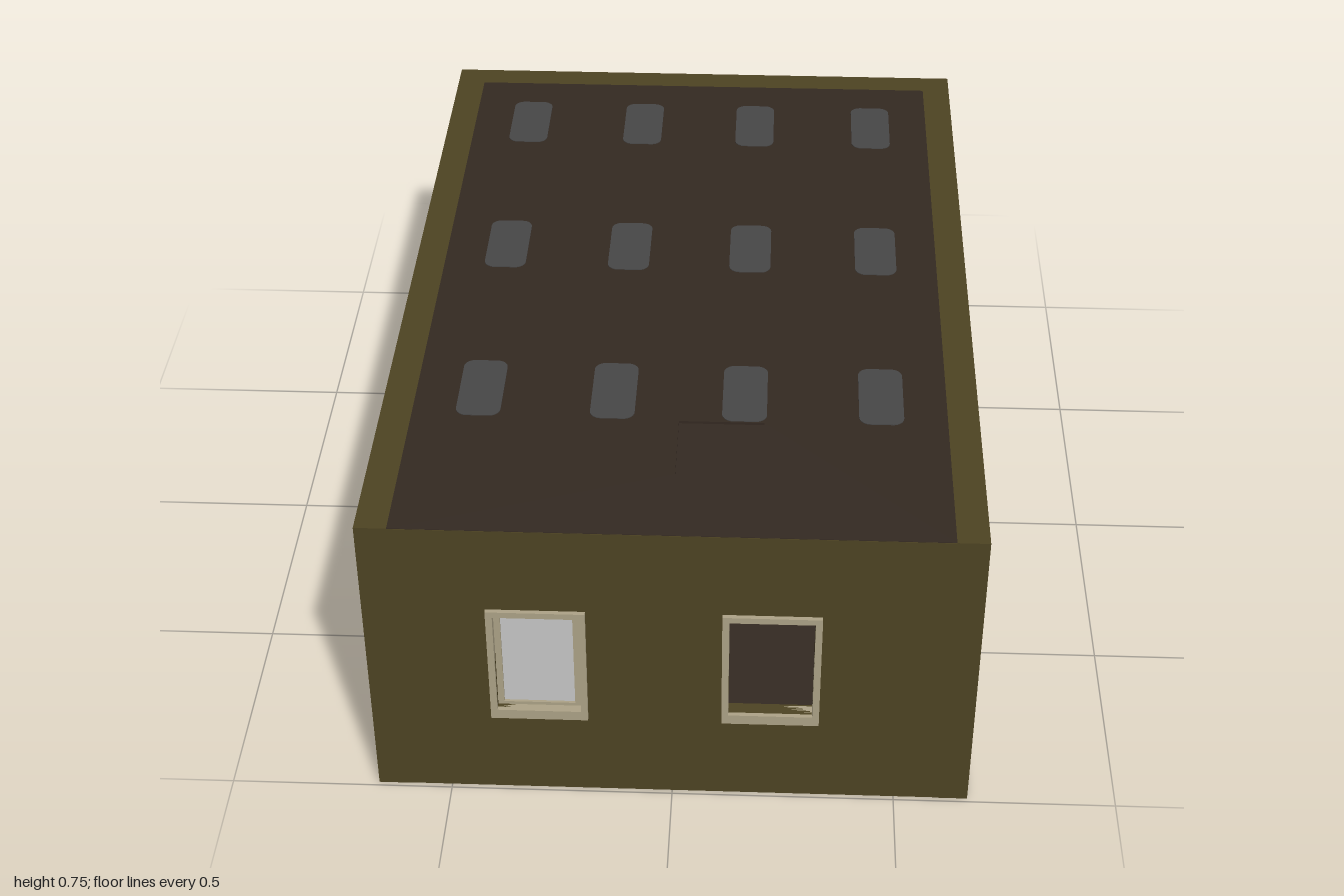
import * as THREE from 'three';

const mat = (name, color, side = THREE.FrontSide) => {
  const m = new THREE.MeshStandardMaterial({ color, side });
  m.name = name;
  return m;
};

// Rectangle from corner coordinates, as a Shape or as a hole Path
function rect(x0, y0, x1, y1, Type = THREE.Shape) {
  return new Type([[x0, y0], [x1, y0], [x1, y1], [x0, y1]].map(p => new THREE.Vector2(...p)));
}

// Rounded plate outline for the ceiling lamps
function roundedRect(w, h, r) {
  const s = new THREE.Shape();
  const x = w / 2 - r, y = h / 2 - r;
  s.absarc(x, y, r, 0, Math.PI / 2);
  s.absarc(-x, y, r, Math.PI / 2, Math.PI);
  s.absarc(-x, -y, r, Math.PI, Math.PI * 1.5);
  s.absarc(x, -y, r, Math.PI * 1.5, Math.PI * 2);
  return s;
}

export function createModel() {
  const group = new THREE.Group();
  group.name = 'room';
  const wall = mat('olive wall', 0x4e4423);
  const brown = mat('dark brown', 0x342a22);
  const lampGrey = mat('lamp grey', 0x474747);
  const trim = mat('beige trim', 0xaea488);
  const glass = mat('pale glass', 0xc8c8c8);

  const add = (name, geo, material, x = 0, y = 0, z = 0) => {
    const m = new THREE.Mesh(geo, material);
    m.name = name;
    m.position.set(x, y, z);
    group.add(m);
    return m;
  };
  const extrude = (shape, depth) =>
    new THREE.ExtrudeGeometry(shape, { depth, bevelEnabled: false, curveSegments: 4 });
  // Flat frame: outer rectangle inset by side, bottom and top margins
  const frame = (x0, y0, x1, y1, side, bottom, top, depth) => {
    const s = rect(x0, y0, x1, y1);
    s.holes.push(rect(x0 + side, y0 + bottom, x1 - side, y1 - top, THREE.Path));
    return extrude(s, depth);
  };

  const W = 0.667, H = 0.747, T = 0.07, front = 0.99;
  const inner = W - T;

  // Side and back walls
  for (const [name, s] of [['leftWall', 1], ['rightWall', -1]]) {
    add(name, new THREE.BoxGeometry(T, H, 1 + front), wall, s * (W - T / 2), H / 2, (front - 1) / 2);
  }
  add('backWall', new THREE.BoxGeometry(inner * 2, H, T), wall, 0, H / 2, -1 + T / 2);

  // Front wall with two window openings
  const face = rect(-inner, 0.001, inner, H - 0.001);
  face.holes.push(rect(-0.385, 0.245, -0.2, 0.515, THREE.Path));
  face.holes.push(rect(0.125, 0.247, 0.31, 0.517, THREE.Path));
  add('frontWall', extrude(face, 0.03), wall, 0, 0, front - 0.03);

  // Floor slab and ceiling slab with a square hatch
  const slab = () => rect(-inner, -1 + T, inner, front - 0.001);
  const roof = slab();
  roof.holes.push(rect(0, 0.59, 0.19, 0.78, THREE.Path));
  add('floor', extrude(slab(), 0.006).rotateX(Math.PI / 2), brown, 0, 0.006, 0);
  add('ceiling', extrude(roof, 0.006).rotateX(Math.PI / 2), brown, 0, H, 0);

  // Three rows of four ceiling lamps
  const lampGeo = extrude(roundedRect(0.1, 0.21, 0.025), 0.009).rotateX(Math.PI / 2);
  for (const z of [-0.72, -0.12, 0.482]) {
    for (const x of [-0.45, -0.15, 0.145, 0.45]) add('lamp', lampGeo, lampGrey, x, H + 0.0015, z);
  }

  // Window frames, with a recessed glazed sash in the right-hand one
  add('rightWindowFrame', frame(-0.4, 0.22, -0.185, 0.53, 0.015, 0.025, 0.015, 0.036), trim, 0, 0, 0.964);
  add('leftWindowFrame', frame(0.11, 0.222, 0.325, 0.532, 0.015, 0.025, 0.015, 0.036), trim, 0, 0, 0.964);
  add('windowSash', frame(-0.385, 0.245, -0.2, 0.515, 0.014, 0.008, 0.014, 0.015), trim, 0, 0, 0.965);
  add('windowPane', new THREE.BoxGeometry(0.16, 0.252, 0.006), glass, -0.2925, 0.377, 0.971);

  return group;
}
